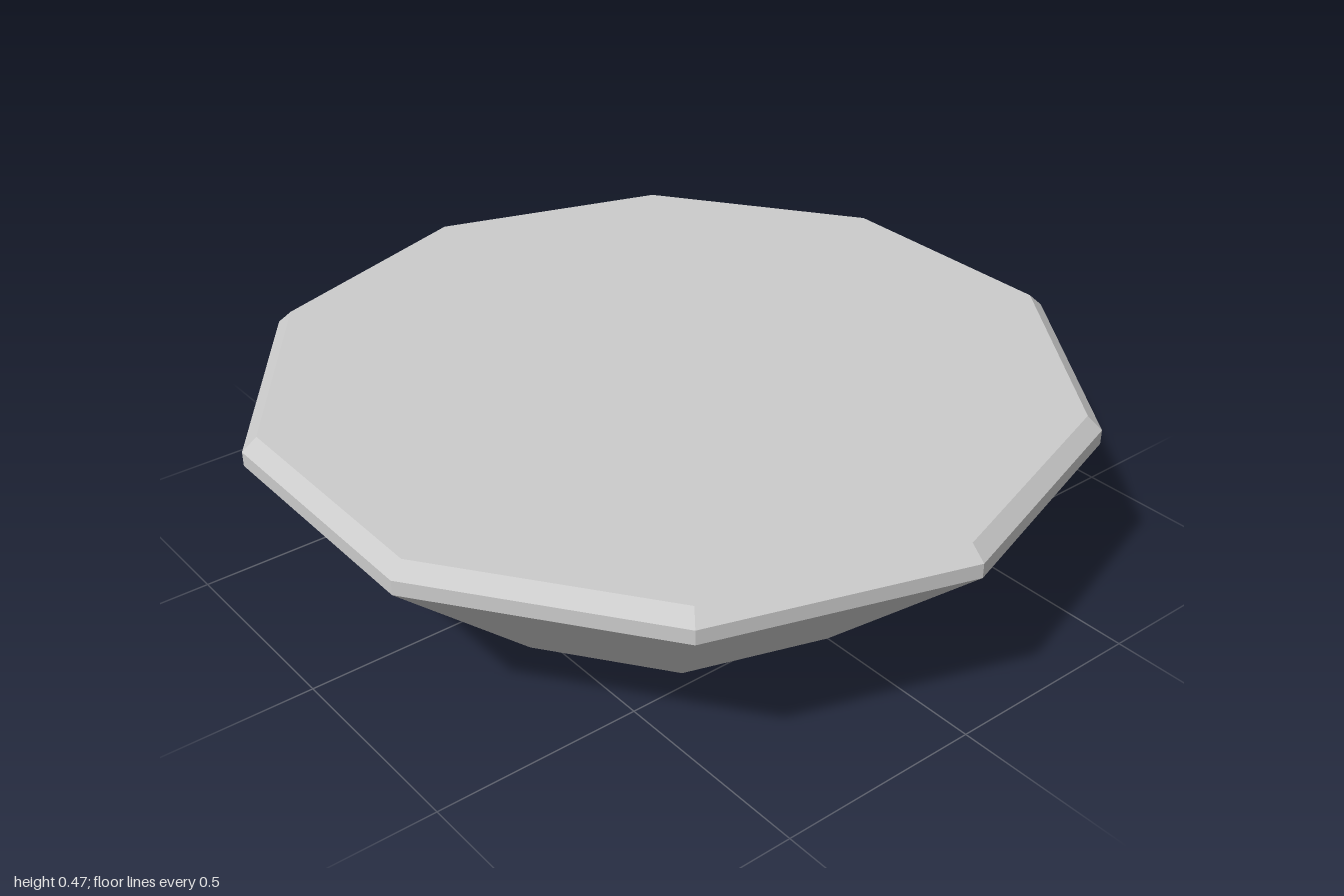
import * as THREE from 'three';

const SIDES = 10;

// Ten-sided faceted solid of revolution, with corners on the x axis
function facetedPart(name, profile, material) {
  const points = profile.map(([r, y]) => new THREE.Vector2(r, y));
  const geometry = new THREE.LatheGeometry(points, SIDES, Math.PI / 2);
  const mesh = new THREE.Mesh(geometry, material);
  mesh.name = name;
  return mesh;
}

export function createModel() {
  const group = new THREE.Group();
  group.name = 'facetedDish';
  const material = new THREE.MeshStandardMaterial({ color: 0xcccccc, flatShading: true });

  // Tapered body with a flat base
  group.add(facetedPart('taperedBody', [[0, 0], [0.573, 0], [1, 0.405]], material));
  // Short upright band, bevelled edge and flat top
  group.add(facetedPart('bevelledTop', [[1, 0.405], [1, 0.44], [0.965, 0.472], [0, 0.472]], material));

  return group;
}
